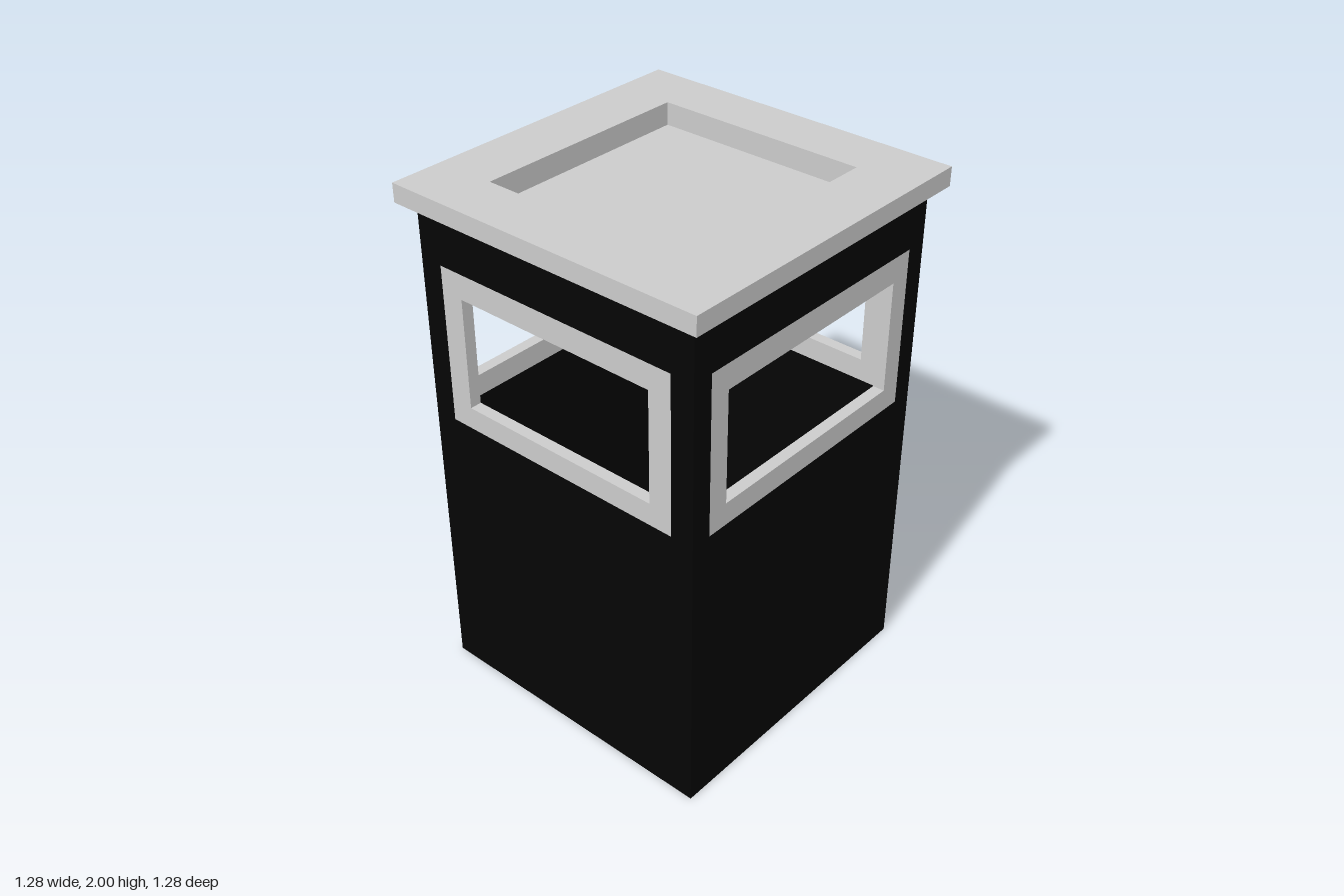
import * as THREE from 'three';

const grey = new THREE.MeshStandardMaterial({ color: 0xcccccc });
const black = new THREE.MeshStandardMaterial({ color: 0x050505 });

const HALF = 0.59;      // half width of the booth
const WALL = 0.045;     // wall thickness
const EAVE = 1.93;      // underside of the roof
const ROOF = 0.64;      // half width of the roof
const INNER = HALF - WALL;

const corners = (w, y0, y1) => [[-w, y0], [w, y0], [w, y1], [-w, y1]].map(([x, y]) => new THREE.Vector2(x, y));

// Rectangular plate with a rectangular opening, extruded along +z
function openPlate(outer, hole, depth) {
  const shape = new THREE.Shape(outer);
  shape.holes.push(new THREE.Path(hole));
  return new THREE.ExtrudeGeometry(shape, { depth, bevelEnabled: false });
}

function add(parent, name, geometry, material) {
  const mesh = new THREE.Mesh(geometry, material);
  mesh.name = name;
  parent.add(mesh);
  return mesh;
}

// One wall and its flush window frame, facing +z before rotation
function makeSide(name, wallHalf, frameHalf, glassHalf, angle) {
  const side = new THREE.Group();
  side.name = name;
  const frameOuter = corners(frameHalf, 1.125, 1.73);
  const opening = corners(glassHalf, 1.21, 1.635);
  add(side, 'wall', openPlate(corners(wallHalf, 0, EAVE), frameOuter, WALL), black).position.z = INNER;
  add(side, 'windowFrame', openPlate(frameOuter, opening, WALL), grey).position.z = INNER;
  side.rotation.y = angle;
  return side;
}

export function createModel() {
  const model = new THREE.Group();
  model.name = 'booth';

  // Four walls with window openings
  model.add(
    makeSide('frontSide', HALF, 0.51, 0.43, 0),
    makeSide('backSide', HALF, 0.51, 0.43, Math.PI),
    makeSide('leftSide', INNER, 0.5, 0.41, Math.PI / 2),
    makeSide('rightSide', INNER, 0.5, 0.41, -Math.PI / 2),
  );

  // Floor
  add(model, 'floor', new THREE.BoxGeometry(2 * INNER, 0.04, 2 * INNER), black).position.y = 0.02;

  // Roof slab with a sunken middle
  const roof = new THREE.Group();
  roof.name = 'roof';
  const recess = corners(0.43, -0.41, 0.41);
  const layers = [
    ['roofSlab', ROOF, EAVE, 2],
    ['roofLining', INNER, 1.915, EAVE],
  ];
  for (const [name, half, y0, y1] of layers) {
    const mesh = add(roof, name, openPlate(corners(half, -half, half), recess, y1 - y0), grey);
    mesh.rotation.x = -Math.PI / 2;
    mesh.position.y = y0;
  }
  add(roof, 'ceiling', new THREE.BoxGeometry(2 * INNER, 0.01, 2 * INNER), grey).position.y = 1.91;

  // Dark underside of the overhang
  const soffitShape = new THREE.Shape(corners(ROOF, -ROOF, ROOF));
  soffitShape.holes.push(new THREE.Path(corners(HALF, -HALF, HALF)));
  const soffit = add(roof, 'soffit', new THREE.ShapeGeometry(soffitShape), black);
  soffit.rotation.x = Math.PI / 2;
  soffit.position.y = EAVE - 0.002;
  model.add(roof);

  return model;
}
